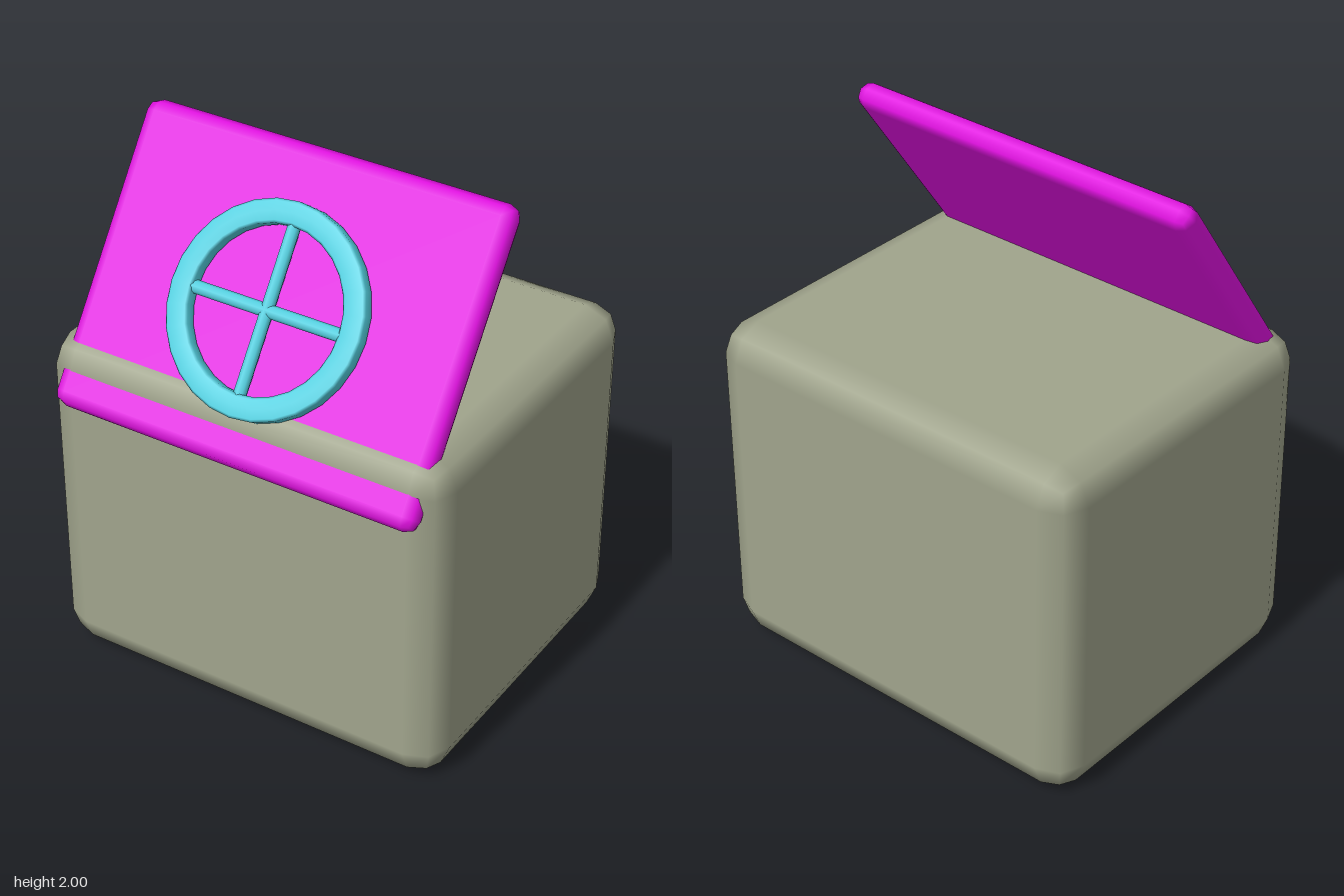
import * as THREE from 'three';
import { RoundedBoxGeometry } from 'three/addons/geometries/RoundedBoxGeometry.js';

const material = (name, color) => {
  const m = new THREE.MeshStandardMaterial({ color });
  m.name = name;
  return m;
};

export function createModel() {
  const stone = material('greyGreen', 0xa0a48c);
  const magenta = material('magenta', 0xe010e0);
  const cyan = material('cyan', 0x54cfdf);

  const add = (parent, name, geometry, mat) => {
    const mesh = new THREE.Mesh(geometry, mat);
    mesh.name = name;
    parent.add(mesh);
    return mesh;
  };

  const model = new THREE.Group();
  model.name = 'consoleWithWheel';

  // Bevelled block
  add(model, 'body', new RoundedBoxGeometry(1.6, 1.315, 1.315, 1, 0.12), stone)
    .position.set(0, 0.6575, -0.0225);

  // Leaning panel that carries the wheel
  const dash = new THREE.Group();
  dash.name = 'dashboard';
  dash.position.set(0, 1.535, 0.34);
  dash.rotation.x = THREE.MathUtils.degToRad(-35);
  model.add(dash);
  add(dash, 'panel', new RoundedBoxGeometry(1.46, 1.11, 0.1, 1, 0.048), magenta);

  // Wheel, facing out of the panel
  const wheel = new THREE.Group();
  wheel.name = 'wheel';
  wheel.position.set(0, -0.018, 0.082);
  dash.add(wheel);

  // Rim: softened rectangular section turned about the wheel axis
  const profile = [
    [0.333, -0.027], [0.366, -0.027], [0.375, -0.02], [0.375, 0.02], [0.366, 0.027],
    [0.333, 0.029], [0.3, 0.027], [0.291, 0.02], [0.291, -0.02], [0.3, -0.027], [0.333, -0.027],
  ].map(([r, y]) => new THREE.Vector2(r, y));
  add(wheel, 'rim', new THREE.LatheGeometry(profile, 28), cyan).rotation.x = Math.PI / 2;

  // Crossed spokes
  const spoke = new THREE.CylinderGeometry(0.024, 0.024, 0.62, 8);
  add(wheel, 'verticalSpoke', spoke, cyan);
  add(wheel, 'horizontalSpoke', spoke, cyan).rotation.z = Math.PI / 2;

  return model;
}
